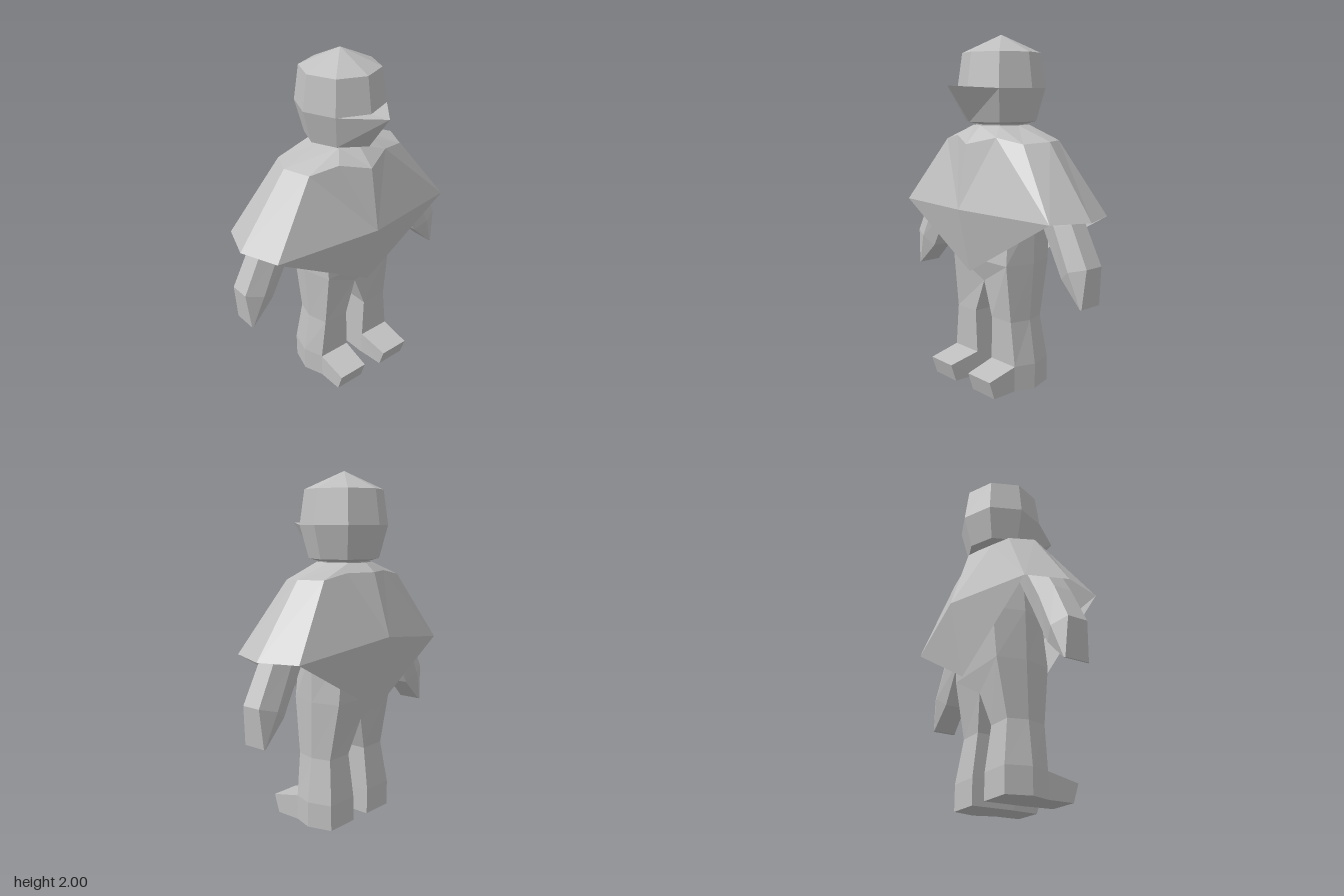
import * as THREE from 'three';

const grey = new THREE.MeshStandardMaterial({ color: 0xbfbfbf, flatShading: true, side: THREE.DoubleSide });
grey.name = 'grey';

// Flat-shaded mesh from polygons, each a list of [x, y, z] corners
function polyMesh(name, polys) {
  const v = [];
  for (const p of polys) {
    for (let i = 1; i < p.length - 1; i++) {
      const [a, b, c] = [p[0], p[i], p[i + 1]].map(q => new THREE.Vector3(...q));
      const area = b.clone().sub(a).cross(c.clone().sub(a)).length();
      if (area > 1e-7) v.push(...p[0], ...p[i], ...p[i + 1]);
    }
  }
  const g = new THREE.BufferGeometry();
  g.setAttribute('position', new THREE.Float32BufferAttribute(v, 3));
  g.computeVertexNormals();
  const mesh = new THREE.Mesh(g, grey);
  mesh.name = name;
  return mesh;
}

const mirror = polys => polys.map(p => p.map(([x, y, z]) => [-x, y, z]).reverse());

// Closed skin over a series of equal-length loops, turned to face outwards
function loft(rings) {
  const n = rings[0].length;
  const polys = [[...rings[0]].reverse(), rings[rings.length - 1]];
  for (let r = 0; r < rings.length - 1; r++) {
    for (let i = 0; i < n; i++) {
      const j = (i + 1) % n;
      polys.push([rings[r][i], rings[r][j], rings[r + 1][j], rings[r + 1][i]]);
    }
  }
  let volume = 0;
  for (const p of polys) {
    for (let i = 1; i < p.length - 1; i++) {
      const [a, b, c] = [p[0], p[i], p[i + 1]].map(q => new THREE.Vector3(...q));
      volume += a.dot(b.cross(c));
    }
  }
  return volume < 0 ? polys.map(p => [...p].reverse()) : polys;
}

function addPair(group, name, polys) {
  group.add(polyMesh('left' + name, polys), polyMesh('right' + name, mirror(polys)));
}

// Eight-sided ring, first corner to the front
function headRing(r, y) {
  return Array.from({ length: 8 }, (_, i) => {
    const a = i * Math.PI / 4;
    return [Math.sin(a) * r, y, -0.033 + Math.cos(a) * r];
  });
}

// Half-body section: inner front, outer front, side, outer back, inner back
const bodyRing = (y, inX, x, side, front, mid, back, inY = y, inF = front, inB = back) => [
  [inX, inY, inF], [x, y, front], [side, y, mid], [x, y, back], [inX, inY, inB]];

export function createModel() {
  const model = new THREE.Group();
  model.name = 'cloakedFigure';

  // Head with a pointed peak on the front corner of the widest ring
  const jaw = headRing(0.2, 1.52);
  jaw[0] = [0, 1.52, 0.205];
  const peak = headRing(0.25, 1.705);
  peak[0] = [0, 1.718, 0.355];
  model.add(polyMesh('head', loft([
    headRing(0.13, 1.42), headRing(0.145, 1.505), jaw, peak,
    headRing(0.25, 1.705), headRing(0.222, 1.9), headRing(0, 2)])));

  // Poncho: one quarter by names, then front/back and left/right
  const N = [0.14, 1.5, -0.035], S = [0.385, 1.42, -0.035], E = [0.69, 1.02, -0.035];
  const quarter = ({ C, D, M, G, F, B, K, T }) => [
    [C, M, G, D], [D, G, F], [N, D, F, S],     // shoulders
    [M, B, G], [G, B, K, F], [B, T, K],        // main panel and point
    [S, F, K, E]];                             // side
  const front = quarter({
    C: [0, 1.5, 0.125], D: [0.105, 1.5, 0.08], M: [0, 1.4, 0.23], G: [0.165, 1.44, 0.155],
    F: [0.325, 1.41, 0.105], B: [0, 1.04, 0.29], K: [0.61, 1.025, 0.195], T: [0, 0.675, 0.21] });
  const back = quarter({
    C: [0, 1.5, -0.19], D: [0.105, 1.5, -0.15], M: [0, 1.45, -0.25], G: [0.165, 1.45, -0.19],
    F: [0.325, 1.42, -0.17], B: [0, 1.1, -0.357], K: [0.61, 1.02, -0.255], T: [0, 0.675, -0.27],
  }).map(p => p.reverse());
  const half = [...front, ...back];
  model.add(polyMesh('poncho', [...half, ...mirror(half)]));

  // Legs running up into the two halves of the torso
  addPair(model, 'LegAndTorso', loft([
    bodyRing(0, 0.062, 0.262, 0.303, 0.1, -0.02, -0.16),
    bodyRing(0.147, 0.065, 0.262, 0.303, 0.1, -0.02, -0.16),
    bodyRing(0.4, 0.072, 0.233, 0.265, 0.105, -0.015, -0.127),
    bodyRing(0.73, 0, 0.23, 0.277, 0.138, -0.03, -0.19, 0.6, 0.1, -0.16),
    bodyRing(0.73, 0, 0.23, 0.277, 0.138, -0.03, -0.19),
    bodyRing(1.02, 0, 0.22, 0.278, 0.11, -0.035, -0.21),
    bodyRing(1.35, 0, 0.17, 0.25, 0.09, -0.035, -0.17)]));

  // Feet
  const footRing = (x0, x1, zTop, yTop, zLow) => [
    [x0, 0, zLow], [x1, 0, zLow], [x1, yTop, zTop], [x0, yTop, zTop]];
  addPair(model, 'Foot', loft([
    footRing(0.064, 0.262, 0.098, 0.146, 0.098),
    footRing(0.078, 0.262, 0.29, 0.105, 0.255)]));

  // Arms: six-sided sleeve, closing to a wedge-shaped hand
  const armRing = ([ox, oy], [mx, my], [ix, iy], zo, zm, zi) => [
    [ox, oy, -0.022 + zo], [mx, my, -0.022 + zm], [ix, iy, -0.022 + zi],
    [ix, iy, -0.022 - zi], [mx, my, -0.022 - zm], [ox, oy, -0.022 - zo]];
  addPair(model, 'Arm', loft([
    armRing([0.42, 1.31], [0.35, 1.27], [0.27, 1.22], 0.05, 0.085, 0.06),
    armRing([0.61, 1.01], [0.52, 0.985], [0.42, 0.955], 0.053, 0.09, 0.06),
    armRing([0.724, 0.79], [0.63, 0.765], [0.555, 0.71], 0.058, 0.098, 0.065),
    armRing([0.705, 0.575], [0.697, 0.575], [0.69, 0.578], 0.07, 0.073, 0.07)]));

  return model;
}
